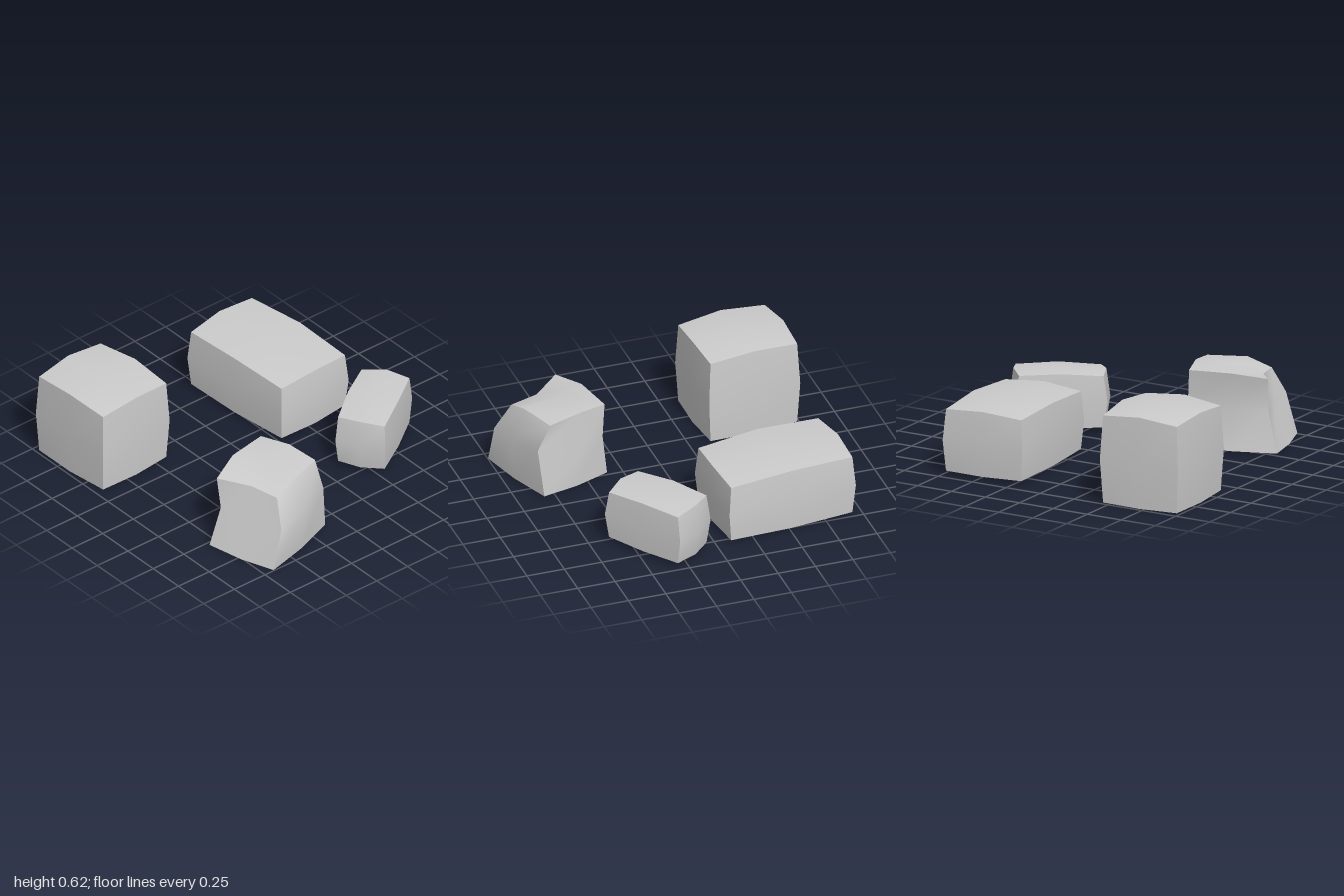
import * as THREE from 'three';

const material = new THREE.MeshStandardMaterial({ color: 0xcccccc });

// A stone is a 2x2x2-segment box: its grid is stretched between eight corners,
// then the middle of every edge and face swells outward.
// Corner order: back left of plan, back right, front right, front left.
// moved: grid points (u,v,w in -1..1) placed by hand.
function stone(name, { top, bottom, swell, moved = {} }) {
  const geometry = new THREE.BoxGeometry(2, 2, 2, 2, 2, 2);
  const pos = geometry.attributes.position;
  const signs = [[-1, -1], [1, -1], [1, 1], [-1, 1]];
  const [topV, bottomV] = [top, bottom].map(c => c.map(p => new THREE.Vector3(...p)));
  const across = topV[1].clone().add(topV[2]).sub(topV[0]).sub(topV[3]).setY(0).normalize();
  const along = topV[2].clone().add(topV[3]).sub(topV[0]).sub(topV[1]).setY(0).normalize();
  const p = new THREE.Vector3();

  for (let i = 0; i < pos.count; i++) {
    const [u, v, w] = [pos.getX(i), pos.getY(i), pos.getZ(i)].map(Math.round);
    p.set(0, 0, 0);
    signs.forEach(([su, sw], k) => {
      const weight = (1 + su * u) * (1 + sw * w) / 8;
      p.addScaledVector(topV[k], weight * (1 + v)).addScaledVector(bottomV[k], weight * (1 - v));
    });
    const [a, b, c] = [1 - u * u, 1 - v * v, 1 - w * w];
    p.addScaledVector(across, swell[0] * u * (b + c) / 2);
    p.addScaledVector(along, swell[2] * w * (a + b) / 2);
    p.y += (v > 0 ? swell[1] : -0.005) * Math.abs(v) * (a + c) / 2;
    const fixed = moved[[u, v, w].map(n => n + 0).join()];
    if (fixed) p.set(...fixed);
    pos.setXYZ(i, p.x, p.y, p.z);
  }
  // Each box face has its own vertices, so it shades smoothly with sharp borders
  geometry.computeVertexNormals();
  const mesh = new THREE.Mesh(geometry, material);
  mesh.name = name;
  return mesh;
}

// Same plan at the base as at the top
const flatBase = (top, y) => top.map(([x, , z]) => [x, y, z]);

export function createModel() {
  const group = new THREE.Group();
  group.name = 'stones';

  // Tall stone at the back
  const tall = [[-0.98, 0.57, -0.955], [-0.455, 0.575, -0.985], [-0.41, 0.57, -0.39], [-0.945, 0.56, -0.365]];
  group.add(stone('tallStone', { top: tall, bottom: flatBase(tall, 0.005), swell: [0.03, 0.055, 0.03] }));

  // Long stone at the back
  const long = [[0.205, 0.42, -0.89], [0.735, 0.425, -0.93], [0.805, 0.405, -0.095], [0.265, 0.4, -0.068]];
  group.add(stone('longStone', { top: long, bottom: flatBase(long, 0.022), swell: [0.03, 0.045, 0.035] }));

  // Small stone at the front, turned in plan
  const small = [[0.365, 0.375, 0.37], [0.805, 0.385, 0.07], [0.985, 0.375, 0.325], [0.535, 0.365, 0.625]];
  group.add(stone('smallStone', { top: small, bottom: flatBase(small, 0.04), swell: [0.05, 0.03, 0.02] }));

  // Leaning stone with a flared base and a hollow side
  group.add(stone('leaningStone', {
    top: [[-0.752, 0.485, 0.525], [-0.265, 0.51, 0.37], [-0.155, 0.495, 0.772], [-0.56, 0.445, 0.887]],
    bottom: [[-0.815, 0.005, 0.53], [-0.26, 0.01, 0.355], [-0.115, 0.01, 0.825], [-0.68, 0.005, 1]],
    swell: [0.03, 0.04, 0.03],
    moved: {
      '-1,1,0': [-0.61, 0.455, 0.7],
      '-1,0,0': [-0.65, 0.28, 0.77],
      '-1,0,-1': [-0.74, 0.27, 0.55],
      '-1,0,1': [-0.605, 0.27, 0.985],
      '0,0,-1': [-0.49, 0.27, 0.46],
      '1,0,-1': [-0.245, 0.29, 0.39],
      '0,1,0': [-0.43, 0.525, 0.63],
      '0,1,-1': [-0.54, 0.515, 0.425],
      '0,1,1': [-0.4, 0.5, 0.86],
      '0,0,1': [-0.38, 0.31, 0.95],
      '1,0,1': [-0.155, 0.325, 0.855],
    },
  }));

  return group;
}
